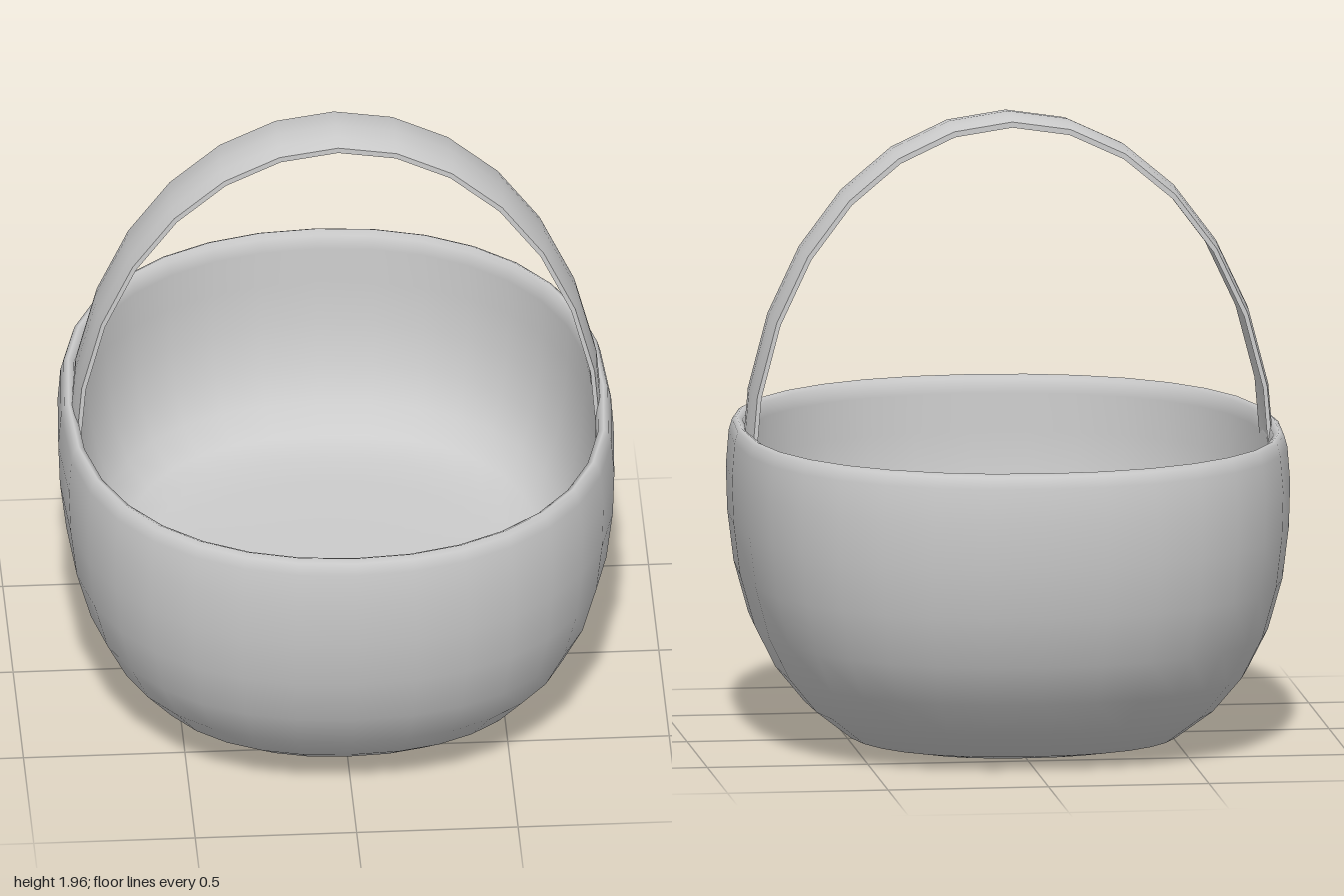
import * as THREE from 'three';
import { mergeVertices, toCreasedNormals } from 'three/addons/utils/BufferGeometryUtils.js';

const SIDES = 32;
const DEPTH_RATIO = 1.163; // front-to-back size relative to width

const toPoints = (list) => list.map(([x, y]) => new THREE.Vector2(x, y));
const signedPower = (value, power) => Math.sign(value) * Math.abs(value) ** power;

// Turned bowl whose round plan is pushed out into a soft oval with flatter sides
function createBowlGeometry() {
  const profile = toPoints([
    // outside, from the middle of the base up to the rim
    [0, 0], [0.2, 0], [0.4, 0.003], [0.52, 0.03], [0.635, 0.12], [0.725, 0.23],
    [0.79, 0.36], [0.835, 0.52], [0.855, 0.68], [0.86, 0.82], [0.852, 0.93], [0.842, 0.966],
    // rim and inside, down to a raised flat floor
    [0.828, 0.975], [0.81, 0.964], [0.803, 0.92], [0.802, 0.8], [0.79, 0.66], [0.765, 0.53],
    [0.72, 0.42], [0.65, 0.35], [0.57, 0.325], [0.45, 0.32], [0.2, 0.32], [0, 0.32],
  ]);
  let geometry = new THREE.LatheGeometry(profile, SIDES);
  const position = geometry.attributes.position;
  for (let i = 0; i < position.count; i++) {
    const x = position.getX(i), y = position.getY(i), z = position.getZ(i);
    const r = Math.hypot(x, z) || 1;
    // the plan gets a little squarer towards the base
    const extra = 0.2 * (1 - y / 0.975);
    position.setX(i, r * signedPower(x / r, 2 / (2.1 + extra)));
    position.setZ(i, r * signedPower(z / r, 2 / (2.5 + extra)) * DEPTH_RATIO);
  }
  // weld the seam so that the whole bowl shades smoothly
  geometry.deleteAttribute('uv');
  geometry.deleteAttribute('normal');
  geometry = mergeVertices(geometry, 1e-4);
  geometry.computeVertexNormals();
  return geometry;
}

// Flat, slightly domed strap swept through half an ellipse
function createHandleGeometry() {
  const section = toPoints([
    [0.984, -0.107], [0.995, -0.06], [1, 0], [0.995, 0.06], [0.984, 0.107],
    [0.968, 0.107], [0.976, 0.06], [0.979, 0], [0.976, -0.06], [0.968, -0.107],
    [0.984, -0.107],
  ]);
  const geometry = new THREE.LatheGeometry(section, 14, -Math.PI / 2, Math.PI);
  geometry.rotateX(-Math.PI / 2);
  geometry.scale(0.828, 1.105, 1);
  geometry.translate(0, 0.85, 0); // ends are buried in the bowl wall
  return toCreasedNormals(geometry, 0.9);
}

export function createModel() {
  const material = new THREE.MeshStandardMaterial({ color: 0xcccccc });
  const model = new THREE.Group();
  model.name = 'basket';

  const bowl = new THREE.Mesh(createBowlGeometry(), material);
  bowl.name = 'bowl';

  const handle = new THREE.Mesh(createHandleGeometry(), material);
  handle.name = 'handle';

  model.add(bowl, handle);
  return model;
}
